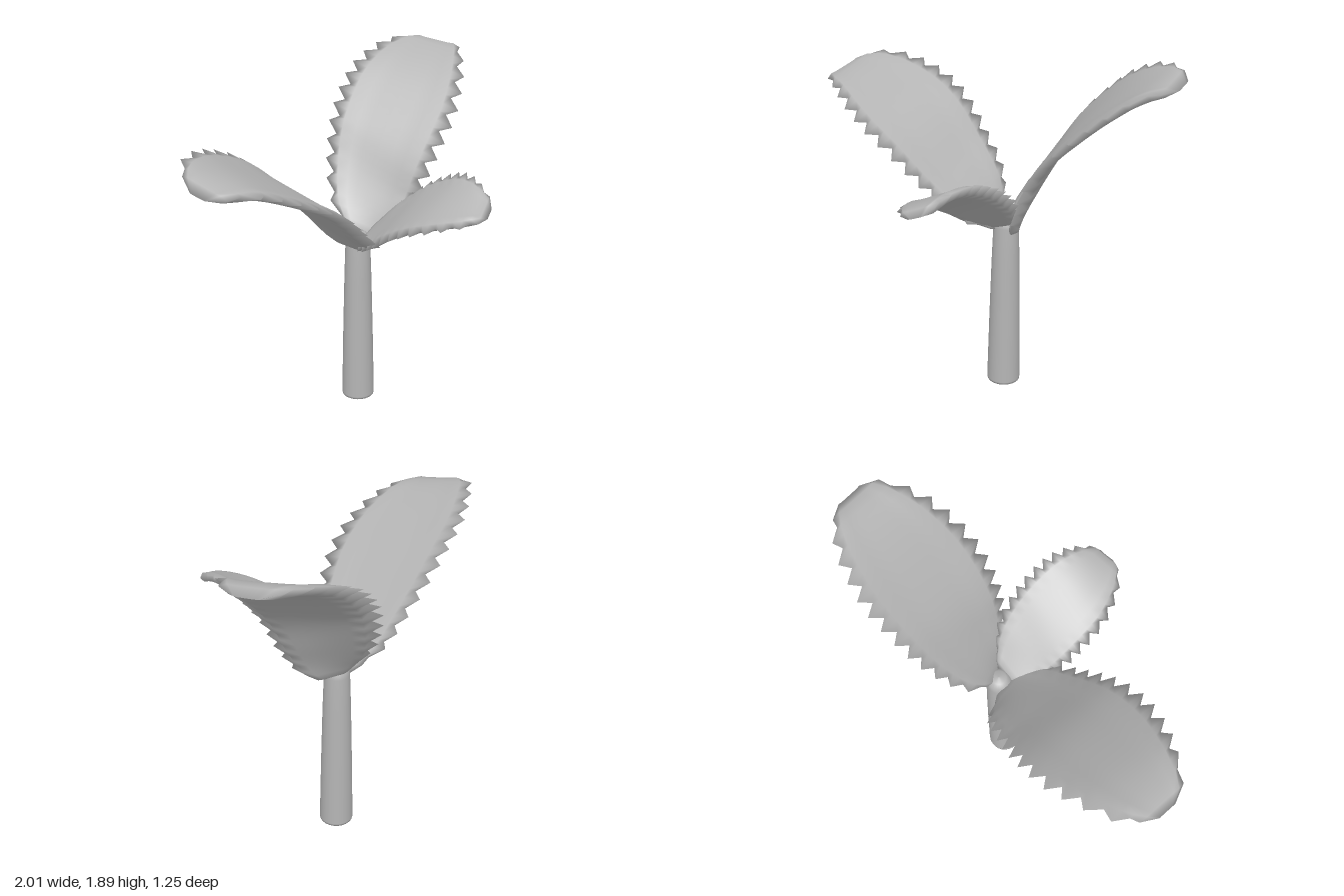
import * as THREE from 'three';
import { mergeVertices } from 'three/addons/utils/BufferGeometryUtils.js';

const grey = new THREE.MeshStandardMaterial({ color: 0xb4b4b4, side: THREE.DoubleSide });
grey.name = 'plain grey';

// Positions across a blade: thick middle, thin toothed edges
const ACROSS = [-1, -0.72, -0.5, -0.25, 0, 0.25, 0.5, 0.72, 1];
const THICKNESS = 0.045;
const CUP = 0.08;

// stations along the midrib: [x, y, z, half width, tilt]; tilt raises one side
function makeLeaf(name, stations, teeth) {
  const rib = new THREE.CatmullRomCurve3(stations.map(([x, y, z]) => new THREE.Vector3(x, y, z)));
  const shape = new THREE.CatmullRomCurve3(
    stations.map(([, , , half, tilt]) => new THREE.Vector3(half, tilt, 0)), false, 'catmullrom', 0.5);
  const rows = teeth * 2;
  const cols = ACROSS.length;
  const positions = [];
  const indices = [];

  // Upper face (1) and lower face (-1) meet along the outline
  for (const face of [1, -1]) {
    const start = positions.length / 3;
    for (let i = 0; i <= rows; i++) {
      const t = rib.getUtoTmapping(i / rows);
      const centre = rib.getPoint(t);
      const { x: half, y: tilt } = shape.getPoint(t);
      const along = rib.getTangent(t);
      const side = new THREE.Vector3(along.z, 0, -along.x).normalize();
      side.y = tilt;
      const normal = along.clone().cross(side).normalize();
      const valley = i % 2 === 0;
      const closed = i === 0 || i === rows;

      for (const u of ACROSS) {
        const edge = Math.abs(u) === 1;
        let reach = u * half;
        // Valleys between teeth are pulled in
        if (edge && valley) reach -= u * Math.min(0.06, half * 0.18);
        const bend = Math.max(0, Math.abs(u) - 0.4) / 0.6;
        let lift = CUP * half * bend * bend;
        if (!edge && !closed) lift += face * THICKNESS / 2;
        const p = centre.clone().addScaledVector(side, reach).addScaledVector(normal, lift);
        positions.push(p.x, p.y, p.z);
      }
    }
    for (let i = 0; i < rows; i++) {
      for (let j = 0; j < cols - 1; j++) {
        const a = start + i * cols + j;
        const b = a + cols;
        if (face > 0) indices.push(a, b, a + 1, b, b + 1, a + 1);
        else indices.push(a, a + 1, b, b, a + 1, b + 1);
      }
    }
  }
  const shell = new THREE.BufferGeometry();
  shell.setAttribute('position', new THREE.Float32BufferAttribute(positions, 3));
  shell.setIndex(indices);
  const geometry = mergeVertices(shell, 1e-5);
  geometry.computeVertexNormals();
  const mesh = new THREE.Mesh(geometry, grey);
  mesh.name = name;
  return mesh;
}

export function createModel() {
  const model = new THREE.Group();
  model.name = 'threeLeafPlant';

  // Tapered stem with a rounded top
  const profile = [
    [0, 0], [0.09, 0], [0.091, 0.012], [0.083, 0.4], [0.074, 0.75],
    [0.067, 0.95], [0.06, 0.99], [0.038, 1.01], [0, 1.018],
  ].map(([r, y]) => new THREE.Vector2(r, y));
  const stem = new THREE.Mesh(new THREE.LatheGeometry(profile, 24), grey);
  stem.name = 'stem';
  stem.position.set(0.134, 0, -0.156);
  model.add(stem);

  // Long leaf reaching to the model's right
  model.add(makeLeaf('rightLeaf', [
    [0.1, 0.93, -0.16, 0.04, -0.18], [0, 1.045, -0.125, 0.22, -0.18],
    [-0.2, 1.23, -0.095, 0.305, -0.2], [-0.4, 1.405, -0.07, 0.35, -0.2],
    [-0.6, 1.515, -0.05, 0.34, -0.2], [-0.8, 1.59, -0.025, 0.265, -0.2],
    [-0.92, 1.595, 0, 0.18, -0.2], [-0.99, 1.57, 0.01, 0.06, -0.15],
  ], 14));

  // Steep leaf reaching to the model's left
  model.add(makeLeaf('leftLeaf', [
    [0.17, 0.94, -0.15, 0.04, 0.34], [0.22, 1.07, -0.185, 0.2, 0.34],
    [0.305, 1.24, -0.22, 0.28, 0.33], [0.415, 1.445, -0.25, 0.33, 0.31],
    [0.6, 1.65, -0.29, 0.345, 0.27], [0.78, 1.79, -0.33, 0.285, 0.2],
    [0.92, 1.855, -0.36, 0.185, 0.12], [0.99, 1.855, -0.38, 0.08, 0.08],
  ], 14));

  // Short leaf leaning to the front
  model.add(makeLeaf('frontLeaf', [
    [0.15, 0.97, -0.12, 0.05, 0.4], [0.16, 1.035, -0.04, 0.15, 0.45],
    [0.175, 1.115, 0.06, 0.2, 0.5], [0.19, 1.215, 0.2, 0.22, 0.5],
    [0.21, 1.295, 0.37, 0.21, 0.5], [0.24, 1.32, 0.5, 0.16, 0.5],
    [0.27, 1.315, 0.58, 0.1, 0.45], [0.285, 1.3, 0.615, 0.04, 0.4],
  ], 13));

  return model;
}
